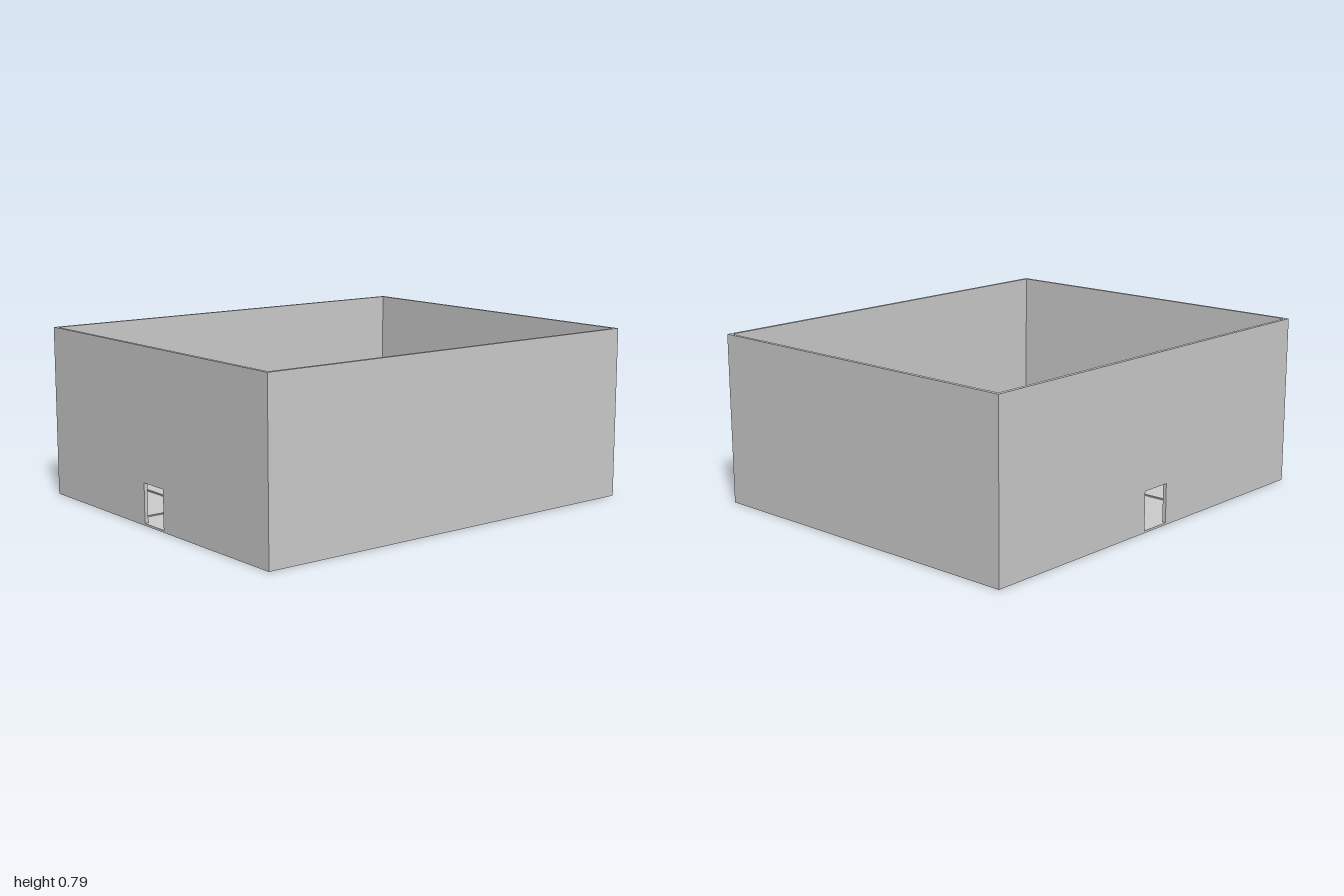
import * as THREE from 'three';

const W = 2, D = 1.66, H = 0.79;      // overall size
const T = 0.017, SLAB = 0.01;         // wall and floor thickness
const DOOR_W = 0.15, DOOR_TOP = 0.19; // doorway

const concrete = new THREE.MeshStandardMaterial({ color: 0xcccccc });
concrete.name = 'concrete grey';

function box(name, w, h, d, x, y, z) {
  const mesh = new THREE.Mesh(new THREE.BoxGeometry(w, h, d), concrete);
  mesh.name = name;
  mesh.position.set(x, y, z);
  return mesh;
}

// Upright wall centred on its thickness, with an optional doorway down to the floor
function wall(name, length, hasDoor) {
  const l = length / 2, d = DOOR_W / 2;
  const points = [[-l, SLAB]];
  if (hasDoor) points.push([-d, SLAB], [-d, DOOR_TOP], [d, DOOR_TOP], [d, SLAB]);
  points.push([l, SLAB], [l, H], [-l, H]);
  const shape = new THREE.Shape(points.map(([x, y]) => new THREE.Vector2(x, y)));
  const geometry = new THREE.ExtrudeGeometry(shape, { depth: T, bevelEnabled: false });
  geometry.translate(0, 0, -T / 2);
  const mesh = new THREE.Mesh(geometry, concrete);
  mesh.name = name;
  return mesh;
}

export function createModel() {
  const model = new THREE.Group();
  model.name = 'openRoofBuilding';

  // Floor slab
  model.add(box('floor', W, SLAB, D, 0, SLAB / 2, 0));

  // Outer walls, with doorways in the back and right walls
  const front = wall('frontWall', W, false);
  front.position.z = (D - T) / 2;
  const back = wall('backWall', W, true);
  back.position.z = -(D - T) / 2;
  const left = wall('leftWall', D - 2 * T, false);
  left.position.x = (W - T) / 2;
  left.rotation.y = Math.PI / 2;
  const right = wall('rightWall', D - 2 * T, true);
  right.position.x = -(W - T) / 2;
  right.rotation.y = Math.PI / 2;
  model.add(front, back, left, right);

  // Low room dividers on the floor, each with a tiny gap at mid length
  const dividers = new THREE.Group();
  dividers.name = 'roomDividers';
  const R = 0.01, RH = 0.005, GAP = 0.004, y = SLAB + RH / 2;
  const corridor = 1 / 6, halfX = W / 2 - T, halfZ = D / 2 - T;
  for (const side of [-1, 1]) {
    // Corridor edges
    for (const end of [-1, 1]) {
      const length = halfX - GAP / 2;
      dividers.add(box('corridorDivider', length, RH, R, end * (GAP + length) / 2 + end * GAP / 4, y, side * corridor));
    }
    // Cross dividers through the front rooms, corridor and back rooms
    for (const x of [-2 / 3, -1 / 3, 1 / 3, 2 / 3]) {
      const start = corridor + R / 2, middle = 0.5;
      for (const [a, b] of [[start, middle - GAP / 2], [middle + GAP / 2, halfZ]]) {
        dividers.add(box('roomDivider', R, RH, b - a, x, y, side * (a + b) / 2));
      }
      const half = corridor - R / 2;
      dividers.add(box('corridorCrossDivider', R, RH, half, x, y, side * half / 2));
    }
  }
  model.add(dividers);
  return model;
}
